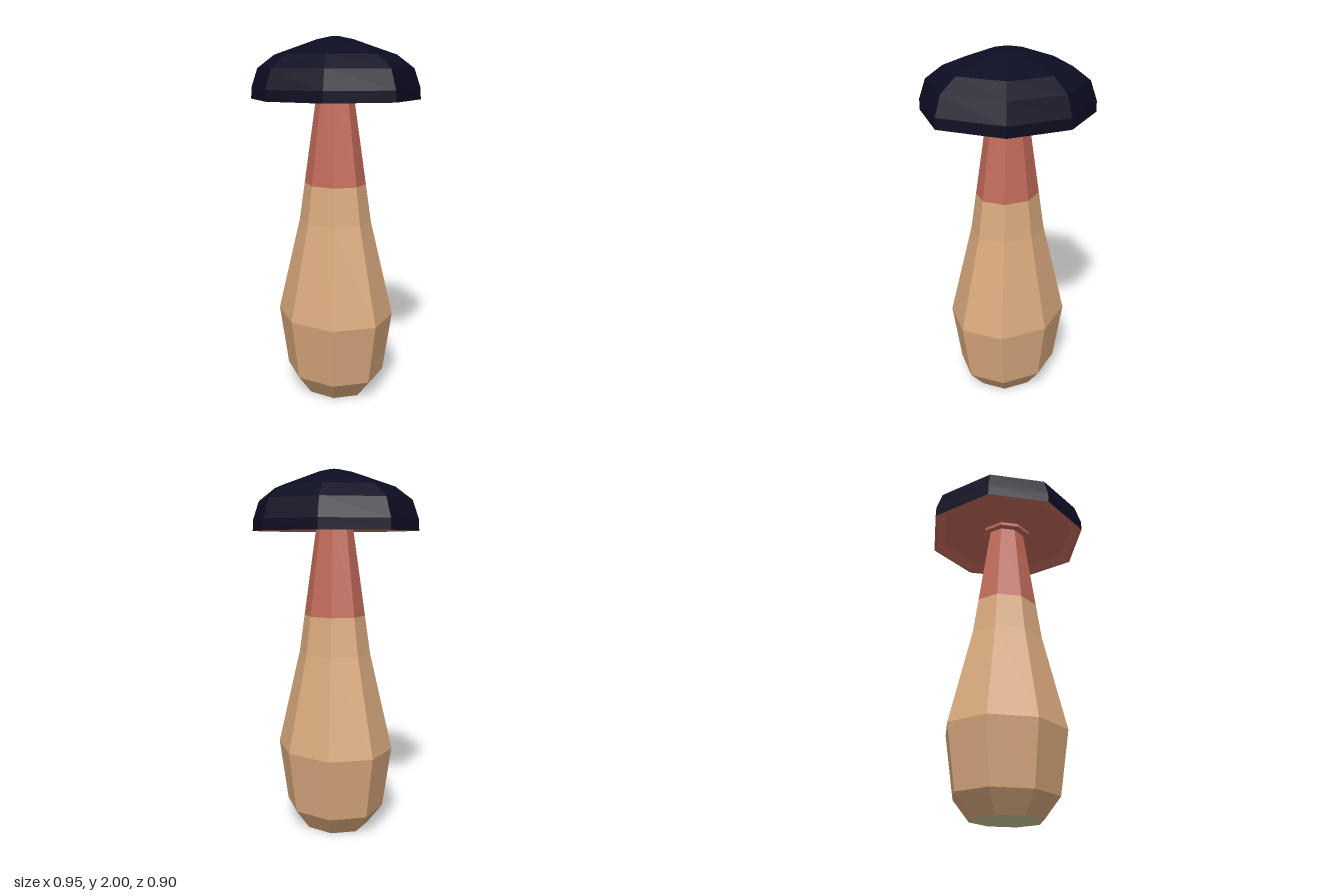
import * as THREE from 'three';

const flat = (name, color) => {
  const m = new THREE.MeshStandardMaterial({ color });
  m.name = name;
  return m;
};

// Faceted eight-sided lathe: profile of [radius, height], z squash, and diagonal-corner tweak
function facetedLathe(name, profile, material, depth, diagX = 1, diagZ = 1) {
  const points = profile.map(([r, y]) => new THREE.Vector2(r, y));
  const geo = new THREE.LatheGeometry(points, 8).toNonIndexed();
  const p = geo.attributes.position;
  for (let i = 0; i < p.count; i++) {
    const x = p.getX(i), z = p.getZ(i);
    const diagonal = Math.abs(x) > 1e-4 && Math.abs(z) > 1e-4;
    p.setX(i, x * (diagonal ? diagX : 1));
    p.setZ(i, z * depth * (diagonal ? diagZ : 1));
  }
  geo.computeVertexNormals();
  const mesh = new THREE.Mesh(geo, material);
  mesh.name = name;
  return mesh;
}

export function createModel() {
  const tan = flat('tan stem', 0xd9a97d);
  const red = flat('dusty red', 0xc26b5a);
  const navy = flat('dark navy cap', 0x0d0d22);
  const olive = flat('pale olive base', 0xcdc896);

  const group = new THREE.Group();
  group.name = 'mushroom';

  // Stem: base disc, bulbous lower part, red neck
  const stemDepth = 0.885;
  group.add(
    facetedLathe('stemBase', [[0, 0], [0.203, 0]], olive, stemDepth),
    facetedLathe('stem', [[0.203, 0], [0.297, 0.115], [0.35, 0.46], [0.215, 1.0], [0.183, 1.21]], tan, stemDepth),
    facetedLathe('neck', [[0.183, 1.21], [0.108, 1.7]], red, stemDepth),
  );

  // Cap: domed top, recessed underside with a small collar around the neck
  const capShape = [0.945, 0.953, 1.045];
  group.add(
    facetedLathe('capTop', [[0.475, 1.672], [0.473, 1.73], [0.436, 1.835], [0.34, 1.905], [0.1, 1.985], [0.025, 2], [0, 2]], navy, ...capShape),
    facetedLathe('capUnderside', [[0.09, 1.69], [0.145, 1.69], [0.145, 1.708], [0.41, 1.708], [0.455, 1.672], [0.475, 1.672]], red, ...capShape),
  );
  return group;
}
